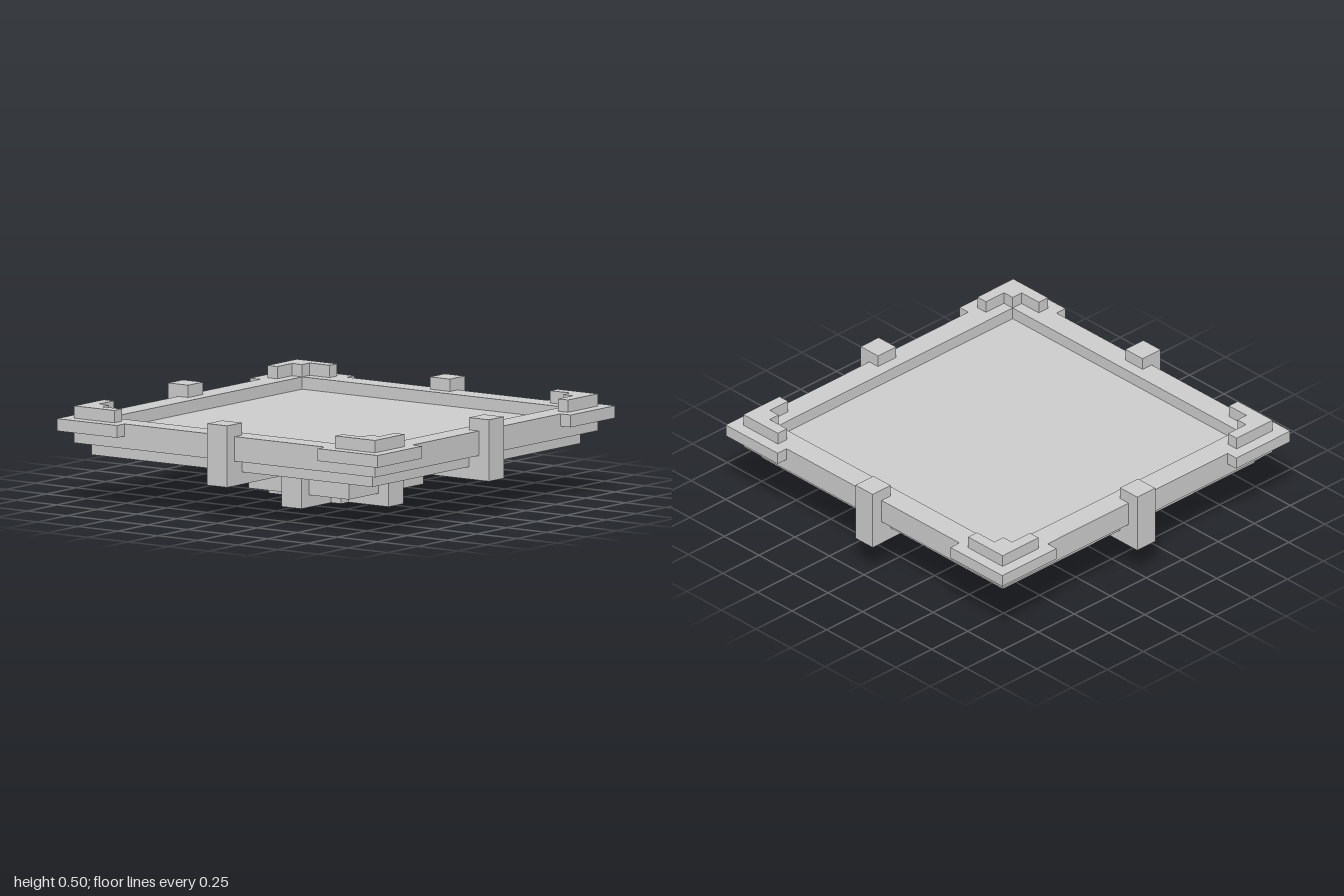
import * as THREE from 'three';

const U = 1 / 16; // everything sits on a grid of sixteenths
const material = new THREE.MeshStandardMaterial({ color: 0xcccccc, flatShading: true });

const outline = (points) => points.map(([x, y]) => new THREE.Vector2(x * U, y * U));
const square = (h) => outline([[-h, -h], [h, -h], [h, h], [-h, h]]);
const extrude = (shape, depth) =>
  new THREE.ExtrudeGeometry(shape, { depth: depth * U, bevelEnabled: false });

// Plan shape raised from height y0 to y1
function slab(name, shape, y0, y1) {
  const geometry = extrude(shape, y1 - y0);
  geometry.rotateX(-Math.PI / 2).translate(0, y0 * U, 0);
  const mesh = new THREE.Mesh(geometry, material);
  mesh.name = name;
  return mesh;
}

export function createModel() {
  const model = new THREE.Group();
  model.name = 'squareTray';

  // Tray: rim with a square opening, the floor inside it and the plate below
  const rimShape = new THREE.Shape(square(15));
  rimShape.holes.push(new THREE.Path(square(13)));
  model.add(slab('rim', rimShape, 5, 7));
  model.add(slab('trayFloor', new THREE.Shape(square(13)), 5, 6));
  model.add(slab('underPlate', new THREE.Shape(square(14)), 4, 5));

  // Pedestal: central block and the small hub under it
  model.add(slab('pedestalBlock', new THREE.Shape(square(5)), 1, 4));
  model.add(slab('footHub', new THREE.Shape(square(2)), 0, 1));

  // Bracket profile: foot, leg, arm under the tray and upright post
  const bracketShape = new THREE.Shape(outline([
    [2, 0], [6, 0], [6, 3], [16, 3], [16, 8], [14, 8], [14, 4], [5, 4], [5, 1], [2, 1],
  ]));
  const bracketGeometry = extrude(bracketShape, 2).translate(0, 0, -U);

  // Corner trims: ledge outside the rim, and a raised angle on top with a filled inner corner
  const ledgeShape = new THREE.Shape(outline([
    [16, 16], [10, 16], [10, 15], [15, 15], [15, 10], [16, 10],
  ]));
  const angleShape = new THREE.Shape(outline([
    [15, 15], [11, 15], [11, 14], [13, 14], [13, 13], [14, 13], [14, 11], [15, 11],
  ]));

  for (let i = 0; i < 4; i++) {
    const side = new THREE.Group();
    side.name = `side${i + 1}`;
    const bracket = new THREE.Mesh(bracketGeometry, material);
    bracket.name = 'bracket';
    side.add(
      bracket,
      slab('cornerLedge', ledgeShape, 6, 7),
      slab('cornerAngle', angleShape, 7, 8),
    );
    side.rotation.y = (i * Math.PI) / 2;
    model.add(side);
  }
  return model;
}
